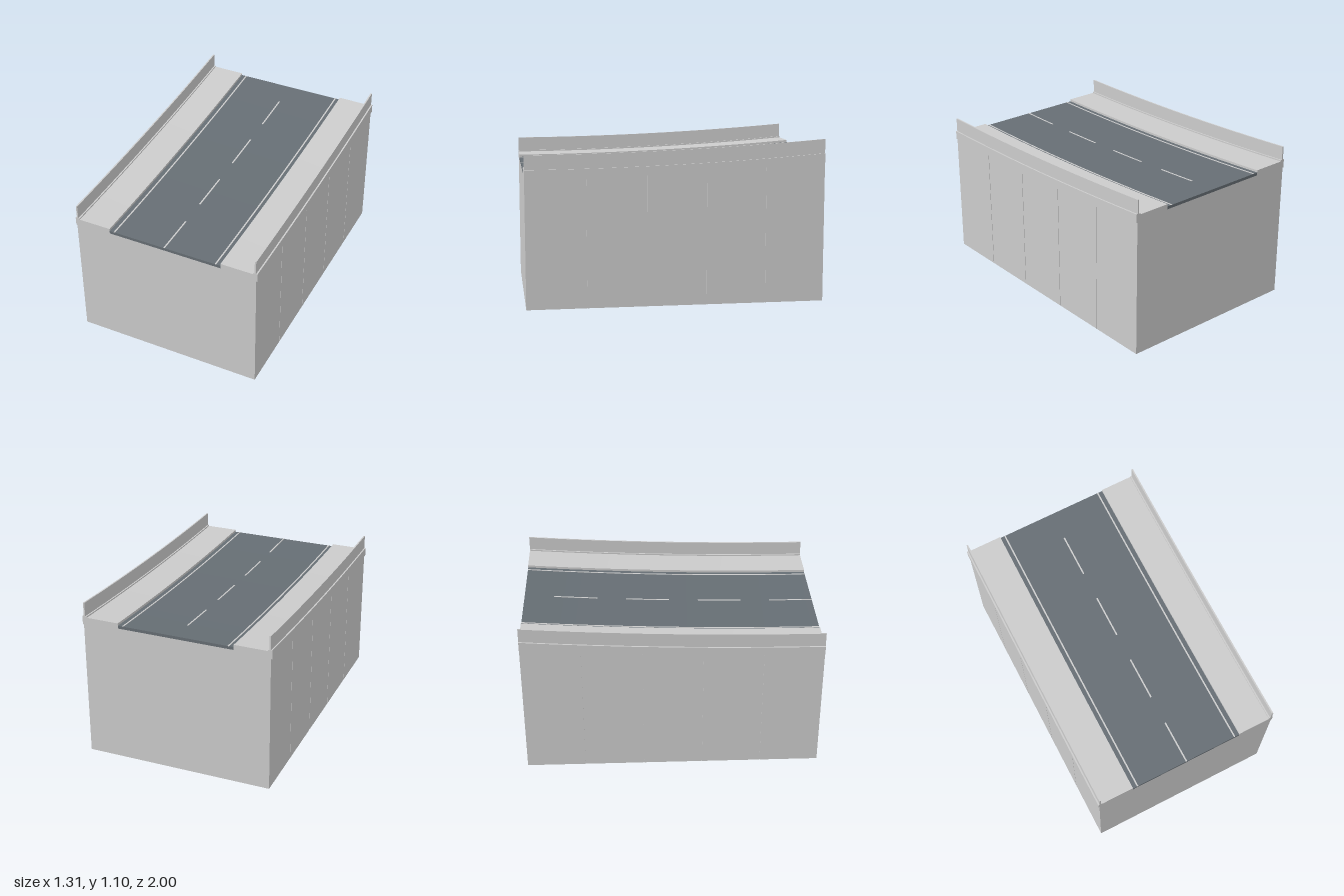
import * as THREE from 'three';
import { toCreasedNormals } from 'three/addons/utils/BufferGeometryUtils.js';

const material = (color) => new THREE.MeshStandardMaterial({ color });
const concrete = material(0xcccccc);
const asphalt = material(0x666e74);
const paint = material(0xdedede);

// Height gained along the ramp, from the low front to the high back
const rise = (z) => 0.02 * (1 - z) ** 2;

// Sweeps a rectangular section along z; everything above the ground follows the ramp
function sweep(name, [x0, x1], [y0, y1], [z0, z1], mat) {
  const shape = new THREE.Shape([
    new THREE.Vector2(x0, y0), new THREE.Vector2(x1, y0),
    new THREE.Vector2(x1, y1), new THREE.Vector2(x0, y1),
  ]);
  const steps = Math.max(1, Math.round((z1 - z0) * 10));
  const geo = new THREE.ExtrudeGeometry(shape, { depth: z1 - z0, steps, bevelEnabled: false });
  geo.translate(0, 0, z0);
  const p = geo.attributes.position;
  for (let i = 0; i < p.count; i++) {
    if (p.getY(i) > 0.001) p.setY(i, p.getY(i) + rise(p.getZ(i)));
  }
  const mesh = new THREE.Mesh(toCreasedNormals(geo, 0.5), mat);
  mesh.name = name;
  return mesh;
}

export function createModel() {
  const model = new THREE.Group();
  model.name = 'roadRamp';
  const full = [-1, 1];

  // Embankment and carriageway
  model.add(sweep('embankment', [-0.642, 0.642], [0, 0.88], full, concrete));
  model.add(sweep('roadSlab', [-0.4, 0.4], [0.88, 0.9], full, asphalt));

  // Broken centre line
  for (const z of [-0.8, -0.3, 0.2, 0.7]) {
    model.add(sweep('centreDash', [-0.005, 0.005], [0.899, 0.902], [z, z + 0.3], paint));
  }

  for (const [side, s] of [['left', 1], ['right', -1]]) {
    const group = new THREE.Group();
    group.name = side + 'Side';
    const span = (a, b) => (s > 0 ? [a, b] : [-b, -a]);

    group.add(sweep('edgeLine', span(0.36, 0.37), [0.899, 0.902], full, paint));
    group.add(sweep('sidewalk', span(0.4, 0.625), [0.88, 0.916], full, concrete));
    group.add(sweep('copingBeam', span(0.625, 0.655), [0.865, 0.925], full, concrete));
    group.add(sweep('parapet', span(0.635, 0.645), [0.925, 1.02], full, concrete));

    // Retaining wall panels with narrow joints
    for (let i = 0; i < 5; i++) {
      const z0 = -1 + i * 0.4 + (i > 0 ? 0.002 : 0);
      const z1 = -0.6 + i * 0.4 - (i < 4 ? 0.002 : 0);
      group.add(sweep('wallPanel', span(0.642, 0.647), [0, 0.87], [z0, z1], concrete));
    }
    model.add(group);
  }
  return model;
}
